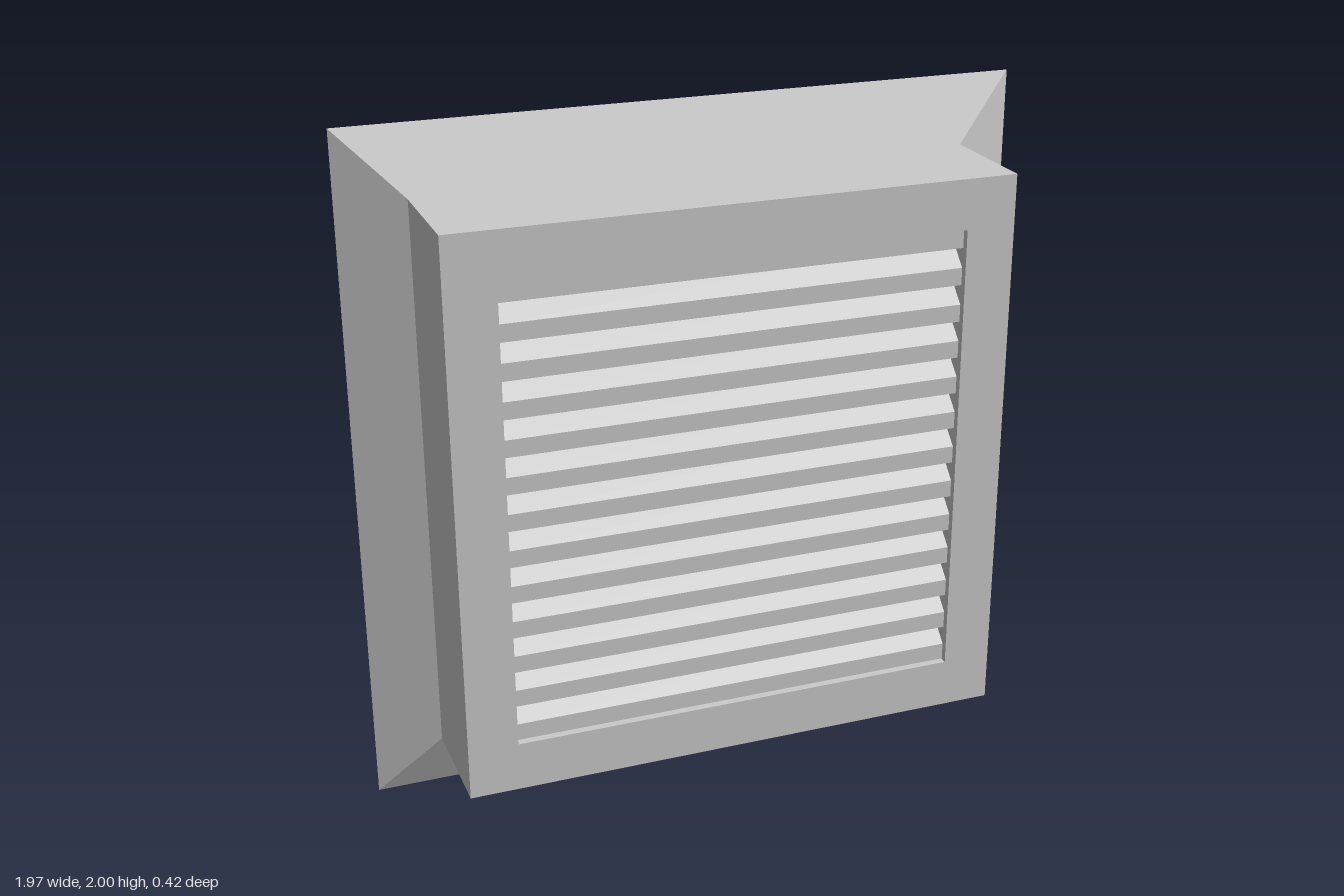
import * as THREE from 'three';

export function createModel() {
  const model = new THREE.Group();
  model.name = 'louverVent';
  const material = new THREE.MeshStandardMaterial({ color: 0xcccccc, flatShading: true });
  const midY = 1;

  const add = (geometry, name, parent = model) => {
    const mesh = new THREE.Mesh(geometry, material);
    mesh.name = name;
    parent.add(mesh);
    return mesh;
  };

  const rectangle = (Type, w, h) => new Type().setFromPoints([
    new THREE.Vector2(-w / 2, -h / 2), new THREE.Vector2(w / 2, -h / 2),
    new THREE.Vector2(w / 2, h / 2), new THREE.Vector2(-w / 2, h / 2),
  ]);

  // Bevelled wall flange: a box whose front face is pulled in
  const flangeGeometry = new THREE.BoxGeometry(1.97, 2, 0.08);
  const pos = flangeGeometry.attributes.position;
  for (let i = 0; i < pos.count; i++) {
    if (pos.getZ(i) > 0) {
      pos.setX(i, Math.sign(pos.getX(i)) * 0.803);
      pos.setY(i, Math.sign(pos.getY(i)) * 0.815);
    }
  }
  flangeGeometry.computeVertexNormals();
  add(flangeGeometry, 'wallFlange').position.set(0, midY, -0.17);

  // Housing with the rectangular louver opening
  const housing = rectangle(THREE.Shape, 1.606, 1.63);
  housing.holes.push(rectangle(THREE.Path, 1.32, 1.342));
  add(new THREE.ExtrudeGeometry(housing, { depth: 0.34, bevelEnabled: false }), 'housing')
    .position.set(0, midY, -0.13);

  // Slats: upright front edge, blade sloping up towards the back
  const slats = new THREE.Group();
  slats.name = 'slats';
  model.add(slats);
  const profile = new THREE.Shape([
    new THREE.Vector2(0, 0), new THREE.Vector2(0, 0.05),
    new THREE.Vector2(-0.07, 0.12), new THREE.Vector2(-0.07, 0.07),
  ].reverse());
  const slatGeometry = new THREE.ExtrudeGeometry(profile, { depth: 1.32, bevelEnabled: false });
  // Profile x becomes z, extrusion runs along x
  slatGeometry.rotateY(-Math.PI / 2).translate(0.66, 0, 0);
  const count = 13, pitch = 0.107;
  for (let i = 0; i < count; i++) {
    add(slatGeometry, `slat${i + 1}`, slats).position.set(0, 0.331 + i * pitch, 0.19);
  }

  return model;
}
